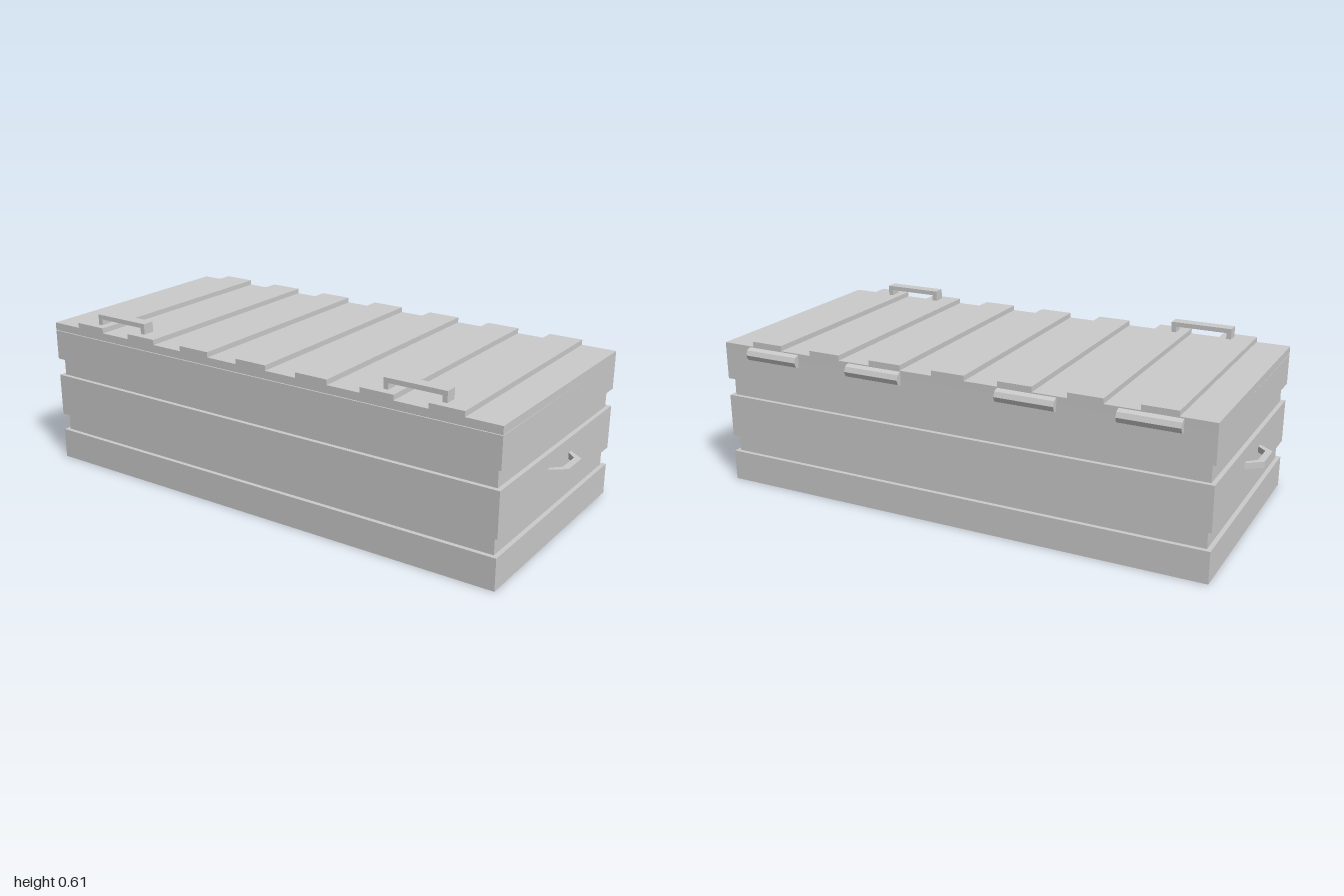
import * as THREE from 'three';

const material = new THREE.MeshStandardMaterial({ color: 0xcccccc, flatShading: true });

function add(parent, name, geometry, x = 0, y = 0, z = 0) {
  const mesh = new THREE.Mesh(geometry, material);
  mesh.name = name;
  mesh.position.set(x, y, z);
  parent.add(mesh);
  return mesh;
}

const box = (w, h, d) => new THREE.BoxGeometry(w, h, d);

export function createModel() {
  const model = new THREE.Group();
  model.name = 'storageChest';

  const width = 1.888, depth = 0.885, backZ = -0.43, midZ = backZ + depth / 2;

  // Body: inset core with three protruding bands
  const body = new THREE.Group();
  body.name = 'body';
  model.add(body);
  add(body, 'core', box(width - 0.032, 0.5, depth - 0.032), 0, 0.262, midZ);
  for (const [y0, y1] of [[0, 0.115], [0.18, 0.342], [0.408, 0.521]]) {
    add(body, 'band', box(width, y1 - y0, depth), 0, (y0 + y1) / 2, midZ);
  }

  // Lid: pivots on the back edge, raised very slightly at the front
  const lid = new THREE.Group();
  lid.name = 'lid';
  lid.position.set(0, 0.52, backZ);
  lid.rotation.x = -0.0037;
  model.add(lid);
  add(lid, 'lidPanel', box(width, 0.029, depth), 0, 0.0145, depth / 2);

  // Raised slats across the lid
  for (let i = -3; i <= 3; i++) {
    add(lid, 'slat', box(0.126, 0.02, depth), i * 0.2515 - 0.002, 0.038, depth / 2);
  }

  // Lid handles near the front edge
  for (const side of [-1, 1]) {
    const handle = new THREE.Group();
    handle.name = 'lidHandle';
    handle.position.set(side * 0.625 - 0.002, 0.029, 0.832);
    lid.add(handle);
    add(handle, 'grip', box(0.23, 0.017, 0.045), 0, 0.0495, 0);
    for (const s of [-1, 1]) {
      add(handle, 'post', box(0.018, 0.042, 0.045), s * 0.106, 0.021, 0);
    }
  }

  // Side handles: bent flat strips, outline drawn in plan (x outward, y = -z)
  const outline = [
    [-0.004, -0.099], [0.057, -0.053], [0.057, 0.053], [-0.004, 0.099],
    [-0.004, 0.081], [0.033, 0.045], [0.033, -0.045], [-0.004, -0.081],
  ];
  const strip = new THREE.ExtrudeGeometry(
    new THREE.Shape(outline.map(([x, y]) => new THREE.Vector2(x, y))),
    { depth: 0.022, bevelEnabled: false });
  strip.rotateX(-Math.PI / 2);
  strip.translate(0, -0.011, 0);
  for (const side of [-1, 1]) {
    const handle = add(model, 'sideHandle', strip, side * 0.943, 0.277, 0.014);
    if (side < 0) handle.rotation.y = Math.PI;
  }

  // Hinge barrels along the back edge
  const barrel = new THREE.CylinderGeometry(0.025, 0.025, 0.216, 8);
  barrel.rotateZ(Math.PI / 2);
  for (const x of [-0.727, -0.297, 0.292, 0.723]) {
    add(model, 'hinge', barrel, x, 0.52, backZ);
  }

  return model;
}
